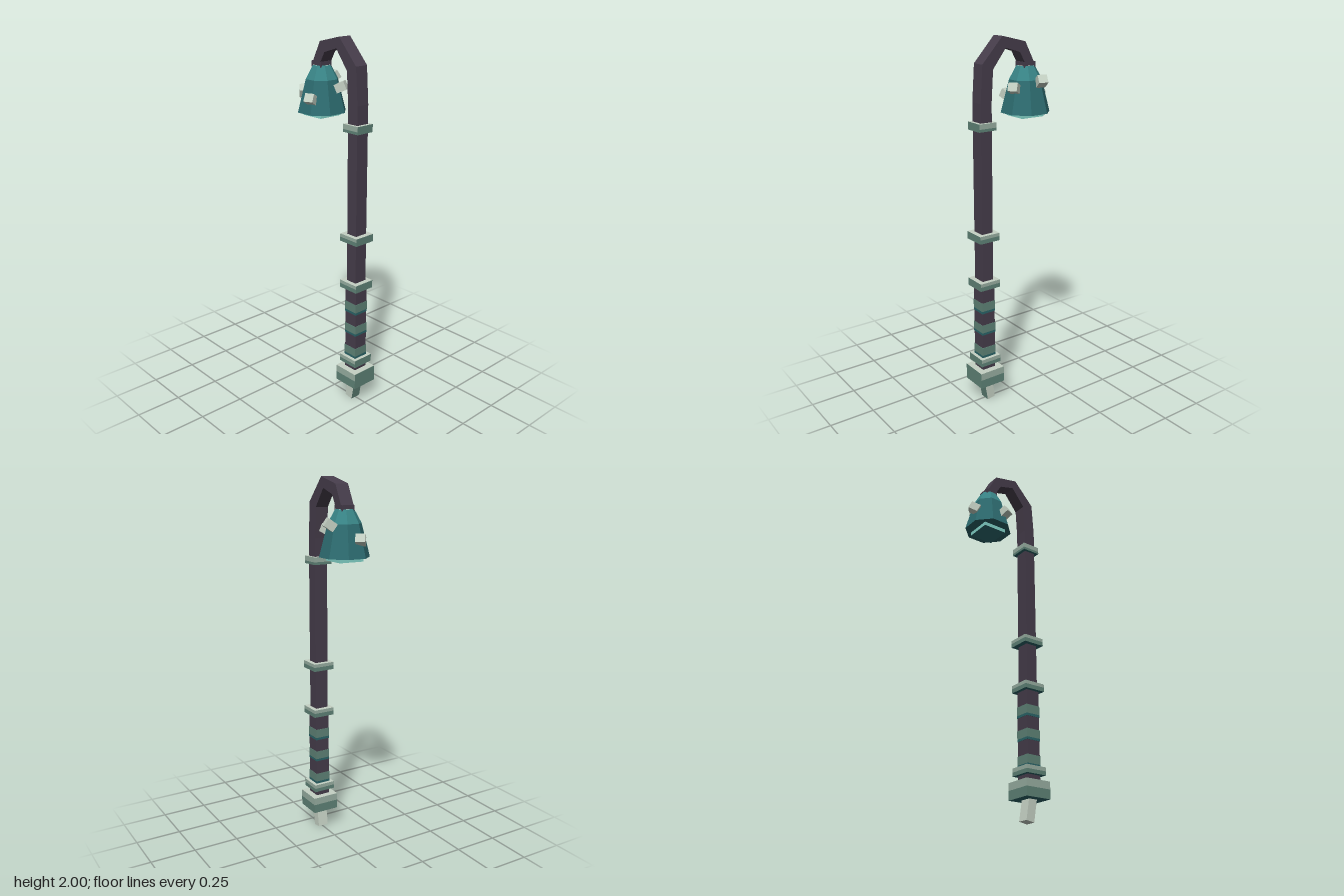
import * as THREE from 'three';

const mat = (name, color) => {
  const m = new THREE.MeshStandardMaterial({ color });
  m.name = name;
  return m;
};

export function createModel() {
  const root = new THREE.Group();
  root.name = 'hookedLanternStaff';

  const wood = mat('dark plum wood', 0x463d4b);
  const pale = mat('pale stone', 0xc4d0c3);
  const light = mat('light sage', 0x98afa2);
  const green = mat('sage green', 0x5f8377);
  const teal = mat('deep teal', 0x2a6468);
  const bellTop = mat('bright teal', 0x388486);
  const bellSkirt = mat('bell teal', 0x2d6c70);
  const glow = mat('turquoise glow', 0x82d3c8);

  const add = (name, geometry, material, x = 0, y = 0, z = 0, parent = root) => {
    const m = new THREE.Mesh(geometry, material);
    m.name = name;
    m.position.set(x, y, z);
    parent.add(m);
    return m;
  };
  // Box on a vertical axis, given by its bottom and top heights
  const block = (name, x, w, d, y0, y1, material, parent = root) =>
    add(name, new THREE.BoxGeometry(w, y1 - y0, d), material, x, (y0 + y1) / 2, 0, parent);
  // Flat-faced copy of a geometry, keeping its groups
  const faceted = (g) => {
    const f = g.toNonIndexed();
    f.computeVertexNormals();
    return f;
  };

  const X = 0.17; // pole axis

  // Pole: thick grip below, thinner shaft above
  block('grip', X, 0.08, 0.08, 0.2, 0.7, wood);
  block('shaft', X, 0.066, 0.074, 0.7, 1.68, wood);

  // Painted bands around the grip
  [[0.28, 0.34], [0.418, 0.477], [0.546, 0.608]].forEach(([y0, y1], i) => {
    const split = y0 + (y1 - y0) * 0.22;
    block('gripBandLower' + i, X, 0.084, 0.084, y0, split, teal);
    block('gripBandUpper' + i, X, 0.084, 0.084, split, y1, green);
  });

  // Two-tone collars and foot block
  const collar = (name, w, y0, y1, share) => {
    const g = new THREE.Group();
    g.name = name;
    root.add(g);
    const split = y1 - (y1 - y0) * share;
    block(name + 'Lower', X, w, w, y0, split, [green, green, green, teal, green, green], g);
    block(name + 'Upper', X, w, w, split, y1, [green, light, pale, light, light, light], g);
  };
  collar('lowCollar', 0.122, 0.238, 0.28, 0.5);
  collar('gripCollar', 0.122, 0.69, 0.732, 0.45);
  collar('middleCollar', 0.122, 0.957, 0.998, 0.45);
  collar('topCollar', 0.104, 1.542, 1.583, 0.65);
  collar('footBlock', 0.15, 0.116, 0.206, 0.45);

  // Tilted foot peg
  const peg = add('footPeg', new THREE.BoxGeometry(0.049, 0.135, 0.06),
    [green, pale, pale, pale, pale, pale], 0.161, 0.071);
  peg.rotation.z = -0.165;

  // Crook: angular arch extruded through the depth of the shaft
  const arch = new THREE.Shape([
    [0.203, 1.68], [0.19, 1.87], [0.07, 2.0], [-0.07, 1.967], [-0.134, 1.845],
    [-0.078, 1.845], [-0.037, 1.916], [0.05, 1.942], [0.127, 1.842], [0.137, 1.68],
  ].map(([x, y]) => new THREE.Vector2(x, y)));
  add('crook', new THREE.ExtrudeGeometry(arch, { depth: 0.074, bevelEnabled: false }), wood, 0, 0, -0.037);
  block('crookEnd', -0.099, 0.07, 0.074, 1.835, 1.865, wood);

  // Eight-sided bell hanging from the crook
  const bell = new THREE.Group();
  bell.name = 'bell';
  bell.position.x = -0.099;
  root.add(bell);
  const ring = (name, r0, y0, r1, y1, materials) => {
    const k = Math.cos(Math.PI / 8);
    const g = new THREE.CylinderGeometry(r1 / k, r0 / k, y1 - y0, 8, 1, false, Math.PI / 8);
    add(name, faceted(g), materials, 0, (y0 + y1) / 2, 0, bell);
  };
  ring('bellSkirt', 0.121, 1.606, 0.08, 1.775, [bellSkirt, bellSkirt, teal]);
  ring('bellShoulder', 0.08, 1.775, 0.044, 1.845, [bellTop, pale, bellTop]);
  block('bellLight', 0, 0.138, 0.138, 1.585, 1.612, [glow, glow, glow, bellSkirt, glow, glow], bell);

  // Stubby blocks growing out of the bell: position, outward heading (x, z), upward tilt
  [
    [-0.123, 1.772, -0.102, 0.28, -0.96, 0.6],
    [0.002, 1.74, -0.042, 0.83, -0.55, 0.4],
    [-0.209, 1.7, 0.025, -0.79, -0.61, 0.5],
    [-0.06, 1.685, 0.108, 0.36, 0.93, 0.5],
  ].forEach(([x, y, z, dx, dz, tilt], i) => {
    const nub = add('bellNub' + i, new THREE.BoxGeometry(0.05, 0.045, 0.055), pale, x, y, z);
    nub.rotation.set(-tilt, Math.atan2(dx, dz), 0, 'YXZ');
  });

  return root;
}
